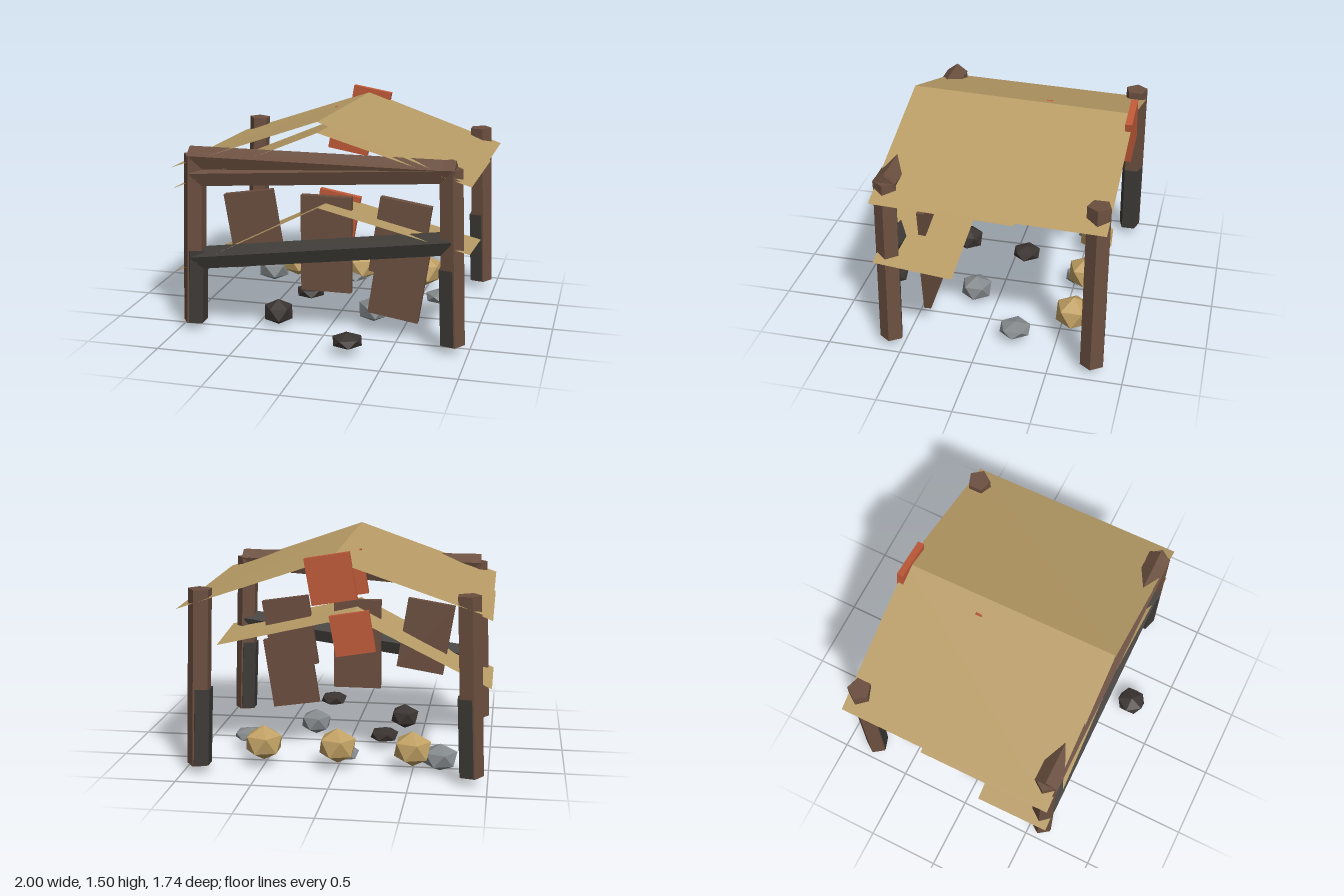
import * as THREE from 'three';

const paint = (name, color, extra = {}) => {
  const m = new THREE.MeshStandardMaterial({ color, flatShading: true, ...extra });
  m.name = name;
  return m;
};

export function createModel() {
  const root = new THREE.Group();
  root.name = 'ruinedShelter';
  const wood = paint('wood', 0x6b4f3f);
  const charred = paint('charredWood', 0x3d3a36);
  const thatch = paint('thatch', 0xb89c66, { side: THREE.DoubleSide });
  const clay = paint('clay', 0xbf5a39);
  const sand = paint('sandstone', 0xc0a064);
  const grey = paint('greyStone', 0x84898c);
  const dark = paint('darkStone', 0x3a3431);

  const add = (name, geo, mat, x = 0, y = 0, z = 0, rz = 0) => {
    const mesh = new THREE.Mesh(geo, mat);
    mesh.name = name;
    mesh.position.set(x, y, z);
    mesh.rotation.z = rz;
    root.add(mesh);
    return mesh;
  };

  // five-sided log between two points in an x-y plane; side sets where its ridge points
  const log = (name, [x0, y0], [x1, y1], z, side, mat) => {
    const length = Math.hypot(x1 - x0, y1 - y0);
    const geo = new THREE.CylinderGeometry(0.08, 0.08, length, 5, 1, false, side * Math.PI / 2);
    add(name, geo, mat, (x0 + x1) / 2, (y0 + y1) / 2, z, Math.atan2(y1 - y0, x1 - x0) - Math.PI / 2);
  };

  // leaning corner posts, with burnt inner faces on the lower half
  for (const s of [1, -1]) {
    for (const [z, end] of [[0.582, 'front'], [-0.785, 'back']]) {
      log(end + 'Post', [s * 0.897, 0.06], [s * 0.855, 1.235], z, s, wood);
      log(end + 'PostBurn', [s * 0.887, 0.064], [s * 0.865, 0.58], z, s, charred);
    }
  }

  // front cross beams
  log('topBeam', [-0.89, 1.21], [0.89, 1.21], 0.582, -1, wood);
  log('slantedBeam', [-0.88, 1.09], [0.88, 1.215], 0.582, -1, wood);
  log('burntBeam', [-0.88, 0.51], [0.88, 0.748], 0.582, -1, charred);

  // gabled roof sheets: front and back stations as [z, left y at -x, ridge y, right y at +x]
  const roof = (name, front, back) => {
    const [f, b] = [front, back].map(([z, l, r, e]) => [[-1, l, z], [0, r, z - 0.015], [1, e, z]]);
    const pos = [];
    for (let i = 0; i < 2; i++) {
      for (const p of [f[i], f[i + 1], b[i + 1], f[i], b[i + 1], b[i]]) pos.push(...p);
    }
    const geo = new THREE.BufferGeometry();
    geo.setAttribute('position', new THREE.Float32BufferAttribute(pos, 3));
    geo.computeVertexNormals();
    add(name, geo, thatch);
  };
  roof('upperRoof', [0.65, 1.15, 1.502, 1.15], [-0.855, 1.11, 1.452, 1.11]);
  roof('middleRoof', [0.65, 1.005, 1.43, 1.14], [-0.28, 0.97, 1.395, 1.105]);
  roof('lowerRoof', [0.65, 0.42, 0.935, 0.7], [0.125, 0.39, 0.885, 0.648]);

  // clay slabs closing the back of each roof ridge
  for (const [y, z] of [[1.33, -0.853], [1.265, -0.282], [0.765, 0.122]]) {
    add('claySlab', new THREE.BoxGeometry(0.29, 0.3, 0.045), clay, 0, y, z, -0.17);
  }

  // hanging wall planks
  for (const [x, y, h, rz] of [
    [-0.505, 0.7, 0.52, 0.16], [0, 0.628, 0.665, 0],
    [0.505, 0.7, 0.52, -0.15], [0.5, 0.405, 0.52, -0.15],
  ]) {
    add('wallPlank', new THREE.BoxGeometry(0.348, h, 0.05), wood, x, y, 0.41, rz);
  }

  // scattered rocks, point-up icosahedra: x, y, z, width radius, height radius
  const rockGeo = new THREE.IcosahedronGeometry(1, 0).rotateZ(Math.atan(2 / (1 + Math.sqrt(5))));
  const rock = (name, mat, x, y, z, w, h) => add(name, rockGeo, mat, x, y, z).scale.set(w, h, w);
  for (const x of [-0.5, 0, 0.5]) rock('sandRock', sand, x, 0.16, -0.59, 0.137, 0.12);
  rock('greyRock', grey, -0.68, 0.095, -0.54, 0.128, 0.092);
  rock('greyRock', grey, 0.27, 0.095, 0.152, 0.118, 0.092);
  rock('greyFlatRock', grey, -0.04, 0.095, -0.54, 0.11, 0.05);
  rock('greyFlatRock', grey, 0.68, 0.095, -0.22, 0.118, 0.05);
  rock('darkRock', dark, -0.36, 0.095, 0.37, 0.112, 0.092);
  rock('darkFlatRock', dark, -0.26, 0.095, -0.1, 0.11, 0.053);
  rock('darkFlatRock', dark, 0.235, 0.095, 0.775, 0.11, 0.053);

  return root;
}
